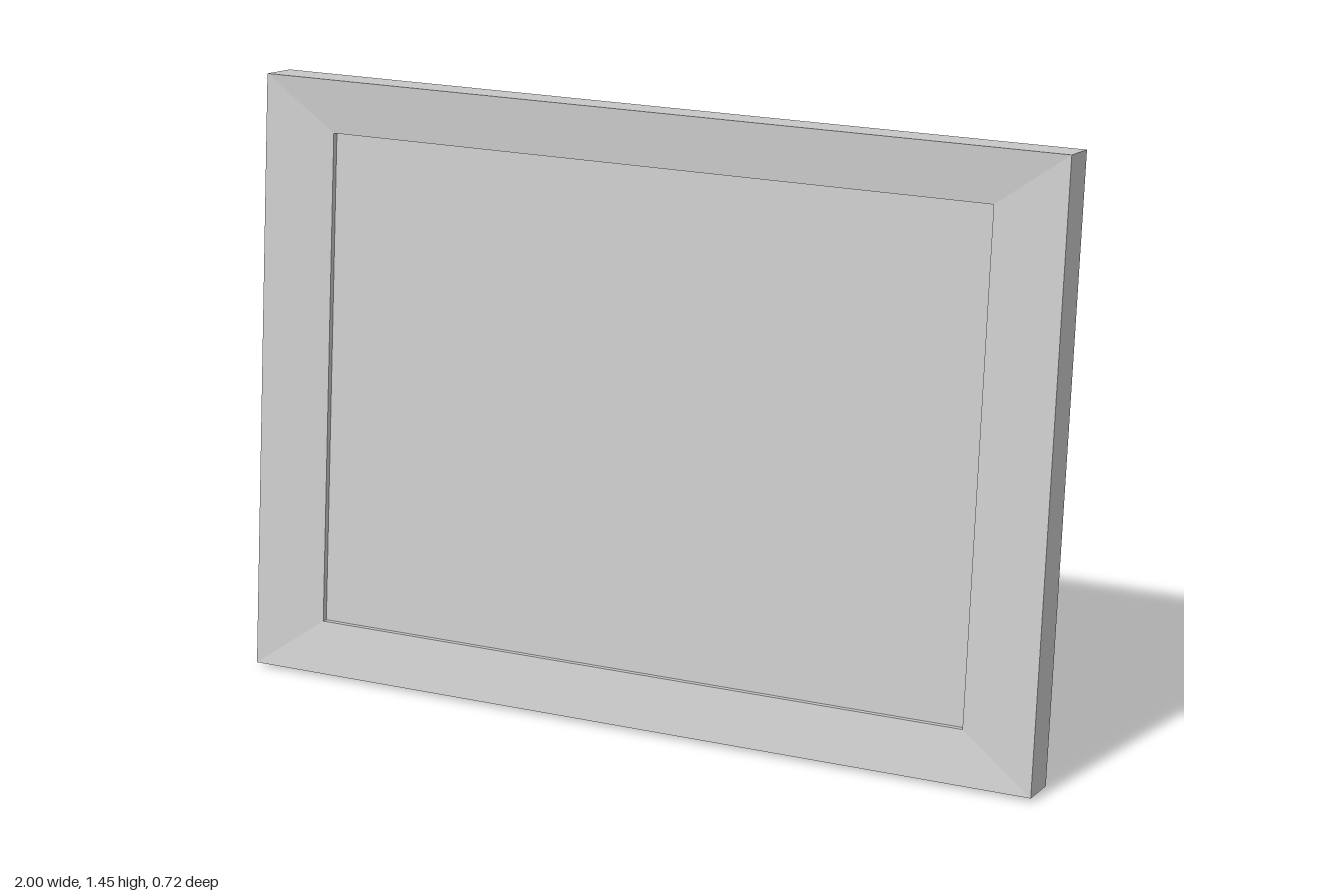
import * as THREE from 'three';

const grey = new THREE.MeshStandardMaterial({ color: 0xcccccc, flatShading: true });

// Flat-shaded strip of quads between successive closed loops of points;
// wrap joins the last loop to the first, otherwise both ends are capped.
function loft(loops, wrap) {
  const pos = [];
  const tri = (...pts) => pts.forEach((p) => pos.push(...p));
  const n = loops[0].length;
  const spans = wrap ? loops.length : loops.length - 1;
  for (let k = 0; k < spans; k++) {
    const a = loops[k], b = loops[(k + 1) % loops.length];
    for (let i = 0; i < n; i++) {
      const j = (i + 1) % n;
      tri(a[i], a[j], b[j]);
      tri(a[i], b[j], b[i]);
    }
  }
  if (!wrap) {
    const first = loops[0], last = loops[loops.length - 1];
    for (let i = 1; i < n - 1; i++) {
      tri(first[0], first[i + 1], first[i]);
      tri(last[0], last[i], last[i + 1]);
    }
  }
  const g = new THREE.BufferGeometry();
  g.setAttribute('position', new THREE.Float32BufferAttribute(pos, 3));
  g.computeVertexNormals();
  return g;
}

function part(name, geometry, parent) {
  const mesh = new THREE.Mesh(geometry, grey);
  mesh.name = name;
  parent.add(mesh);
  return mesh;
}

export function createModel() {
  const model = new THREE.Group();
  model.name = 'pictureFrame';

  // Frame and panel lean back together
  const leaning = new THREE.Group();
  leaning.name = 'leaningFrame';
  leaning.position.set(0, 0.726, 0.2385);
  leaning.rotation.x = -0.1004;
  model.add(leaning);

  // Mitred border, sloping slightly inward on front and back
  const rect = (w, h, z) => [[-w, -h, z], [w, -h, z], [w, h, z], [-w, h, z]];
  part('border', loft([
    rect(1, 0.7235, 0.0515),
    rect(0.825, 0.596, 0.037),
    rect(0.825, 0.596, -0.037),
    rect(1, 0.7235, -0.0515),
  ], true), leaning);

  // Recessed picture panel
  part('panel', new THREE.BoxGeometry(1.65, 1.192, 0.044), leaning);

  // Slanted support leg: a thin four-cornered plate, tip sunk into the panel
  const normal = [0.32, 0.24, -0.92];
  const outer = [
    [0.095, 0.98, 0.2],
    [-0.34, 0.02, -0.205],
    [-0.78, 0.03, -0.362],
    [-0.815, 0.485, -0.253],
  ];
  const inner = outer.map((p) => p.map((v, i) => v - 0.021 * normal[i]));
  part('supportLeg', loft([inner, outer], false), model);

  return model;
}
